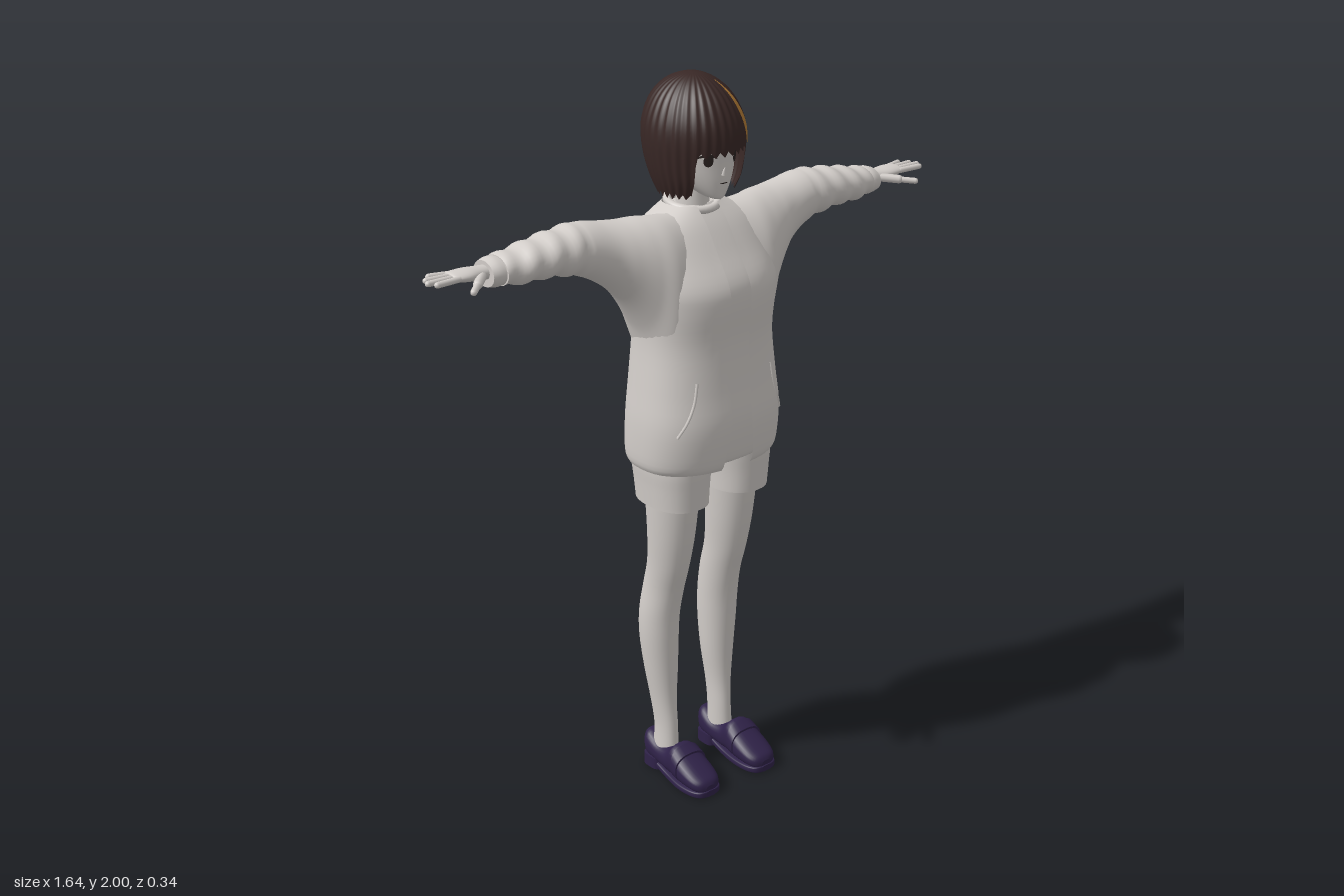
import * as THREE from 'three';

const material = (name, color, side = THREE.FrontSide) => {
  const m = new THREE.MeshStandardMaterial({ color, side });
  m.name = name;
  return m;
};

// Smooth (Catmull-Rom) reading of a table of cross-sections
function sample(rows, u) {
  const n = rows.length - 1;
  const i = Math.min(Math.floor(u), n - 1), t = u - i;
  const [a, b, c, d] = [Math.max(i - 1, 0), i, i + 1, Math.min(i + 2, n)].map(k => rows[k]);
  return b.map((_, k) => b[k] + 0.5 * t * (c[k] - a[k]
    + t * (2 * a[k] - 5 * b[k] + 4 * c[k] - d[k] + t * (3 * (b[k] - c[k]) + d[k] - a[k]))));
}
function findU(rows, y) {
  let lo = 0, hi = rows.length - 1;
  for (let k = 0; k < 30; k++) {
    const mid = (lo + hi) / 2;
    if (sample(rows, mid)[0] < y) lo = mid; else hi = mid;
  }
  return lo;
}
const power = (v, p) => Math.sign(v) * Math.abs(v) ** p;

// Point on a section [position, centre, halfWidth, front, back]
function onSection([t, c, h, f, b], a, p = 1, grow = 0) {
  const side = c + (h + grow) * power(Math.sin(a), p);
  const depth = (f + b) / 2 + ((f - b) / 2 + grow) * power(Math.cos(a), p);
  return [side, t, depth];
}

// Indexed surface from rows of points
function surface(points, closed) {
  const m = points[0].length, index = [];
  for (let i = 0; i < points.length - 1; i++)
    for (let j = 0; j < (closed ? m : m - 1); j++) {
      const k = (j + 1) % m, a = i * m + j, b = i * m + k, c = a + m, d = b + m;
      index.push(a, c, b, b, c, d);
    }
  const geo = new THREE.BufferGeometry();
  geo.setAttribute('position', new THREE.Float32BufferAttribute(points.flat(2), 3));
  geo.setIndex(index);
  geo.computeVertexNormals();
  return geo;
}

// Loft through sections along axis x, y or z; gap(t) leaves the front open
function loft(rows, { axis = 'y', p = 1, seg = 28, steps = 4, cap = true, gap, ripple } = {}) {
  const rings = [], n = (rows.length - 1) * steps;
  for (let i = 0; i <= n; i++) {
    const s = sample(rows, i / steps), ring = [];
    const a0 = gap ? Math.asin(Math.min(1, gap(s[0]) / s[2]) ** (1 / p)) : 0;
    for (let j = 0; j < (gap ? seg + 1 : seg); j++) {
      const a = a0 + (j / seg) * (2 * Math.PI - 2 * a0);
      const [x, y, z] = onSection(s, axis === 'y' ? -a : a, p, ripple ? ripple(s[0], a) : 0);
      ring.push(axis === 'y' ? [x, y, z] : axis === 'x' ? [y, x, z] : [x, z, y]);
    }
    rings.push(ring);
  }
  if (cap && !gap) {
    const centre = r => r.map(() => [0, 1, 2].map(k => r.reduce((q, v) => q + v[k], 0) / r.length));
    const first = rings[0], last = rings[n];
    rings.unshift(centre(first), first);
    rings.push(last, centre(last));
  }
  return surface(rings, !gap);
}

// Rounded finger between two points
function finger(from, to, r) {
  const a = new THREE.Vector3(...from), b = new THREE.Vector3(...to), d = b.clone().sub(a);
  const geo = new THREE.CapsuleGeometry(r, d.length() - r, 4, 10);
  geo.applyQuaternion(new THREE.Quaternion().setFromUnitVectors(new THREE.Vector3(0, 1, 0), d.normalize()));
  return geo.translate(...a.add(b).multiplyScalar(0.5).toArray());
}

function mirrored(geo) {
  const g = geo.clone().scale(-1, 1, 1), ix = g.index;
  for (let i = 0; i < ix.count; i += 3) {
    const t = ix.getX(i);
    ix.setX(i, ix.getX(i + 2));
    ix.setX(i + 2, t);
  }
  return g;
}

export function createModel() {
  const model = new THREE.Group();
  const grey = material('pale grey', 0xd2cdc9);
  const greyOpen = material('pale grey cloth', 0xd2cdc9, THREE.DoubleSide);
  const hairMat = material('dark brown hair', 0x382725, THREE.DoubleSide);
  const streakMat = material('amber streak', 0xb07a35, THREE.DoubleSide);
  const shoeMat = material('dark violet leather', 0x2f2248);
  const dark = material('eye dark', 0x2a2220, THREE.DoubleSide);
  const add = (name, geo, mat) => {
    const mesh = new THREE.Mesh(geo, mat);
    mesh.name = name;
    model.add(mesh);
  };
  const pair = (name, geo, mat) => {
    add(name + 'Left', geo, mat);
    add(name + 'Right', mirrored(geo), mat);
  };

  // Legs and shorts
  pair('leg', loft([
    [0.06, 0.1, 0.03, 0.014, -0.072], [0.14, 0.098, 0.029, 0.01, -0.07], [0.22, 0.1, 0.034, 0.004, -0.08],
    [0.32, 0.102, 0.046, 0.004, -0.096], [0.42, 0.105, 0.053, 0.008, -0.108], [0.5, 0.105, 0.054, 0.015, -0.108],
    [0.58, 0.102, 0.052, 0.032, -0.095], [0.66, 0.102, 0.054, 0.055, -0.075], [0.76, 0.102, 0.062, 0.075, -0.068],
    [0.88, 0.102, 0.07, 0.088, -0.072], [1.0, 0.1, 0.075, 0.09, -0.08]]), grey);
  pair('shortsLeg', loft([
    [0.86, 0.103, 0.082, 0.118, -0.1], [0.92, 0.104, 0.086, 0.122, -0.105],
    [0.98, 0.103, 0.092, 0.125, -0.112], [1.06, 0.095, 0.095, 0.12, -0.115]], { p: 0.85 }), grey);

  // Shoes: upper, strap, sole, heel
  pair('shoeUpper', loft([
    [-0.095, 0.1, 0.026, 0.1, 0.03], [-0.075, 0.1, 0.036, 0.1, 0.02], [-0.03, 0.1, 0.04, 0.082, 0.02],
    [0.015, 0.102, 0.043, 0.088, 0.015], [0.045, 0.103, 0.046, 0.113, 0.01], [0.09, 0.103, 0.052, 0.088, 0.01],
    [0.14, 0.103, 0.048, 0.062, 0.01], [0.165, 0.103, 0.035, 0.048, 0.01], [0.174, 0.103, 0.016, 0.035, 0.012]],
    { axis: 'z', p: 0.8 }), shoeMat);
  pair('shoeStrap', loft([
    [0.058, 0.103, 0.052, 0.113, 0.012], [0.085, 0.103, 0.055, 0.097, 0.012]], { axis: 'z', p: 0.8 }), shoeMat);
  pair('shoeSole', loft([
    [-0.02, 0.102, 0.04, 0.03, 0.012], [0.03, 0.102, 0.046, 0.022, 0.002], [0.09, 0.103, 0.054, 0.02, 0],
    [0.14, 0.103, 0.051, 0.02, 0], [0.168, 0.103, 0.037, 0.02, 0], [0.177, 0.103, 0.016, 0.02, 0.002]],
    { axis: 'z', p: 0.4 }), shoeMat);
  pair('shoeHeel', loft([
    [0, 0.1, 0.04, -0.02, -0.094], [0.035, 0.1, 0.04, -0.015, -0.095]], { p: 0.6 }), shoeMat);

  // Jacket body with an open front over a shirt
  const body = [
    [0.972, 0, 0.205, 0.152, -0.142], [1.0, 0, 0.214, 0.165, -0.152], [1.1, 0, 0.214, 0.177, -0.151],
    [1.2, 0, 0.203, 0.168, -0.146], [1.32, 0, 0.191, 0.162, -0.14], [1.42, 0, 0.195, 0.17, -0.133],
    [1.48, 0, 0.198, 0.163, -0.128], [1.55, 0, 0.192, 0.12, -0.122], [1.62, 0, 0.16, 0.075, -0.112],
    [1.665, 0, 0.08, 0.035, -0.095]];
  const gap = y => 0.034 + 0.015 * THREE.MathUtils.smoothstep(1.12 - y, 0, 0.14);
  add('jacketBody', loft(body, { p: 0.83, seg: 48, gap }), greyOpen);
  add('shirt', loft(body.map(([y, c, h, f, b]) => [Math.max(y, 0.985) - 0.004, c, h - 0.02, f - 0.022, b + 0.02]),
    { p: 0.83, seg: 40 }), grey);

  // Sleeves with soft folds, cuffs
  pair('sleeve', loft([
    [0.08, 1.46, 0.19, 0.1, -0.11], [0.15, 1.445, 0.212, 0.12, -0.118], [0.2, 1.51, 0.15, 0.098, -0.118],
    [0.25, 1.553, 0.107, 0.075, -0.112], [0.3, 1.58, 0.085, 0.055, -0.105], [0.37, 1.605, 0.07, 0.045, -0.1],
    [0.46, 1.612, 0.055, 0.043, -0.095], [0.55, 1.605, 0.046, 0.034, -0.09], [0.61, 1.6, 0.038, 0.016, -0.085]],
    { axis: 'x', steps: 8, ripple: (x, a) => x > 0.38 ? 0.0035 * Math.sin(x * 95 + 1.5 * Math.sin(a)) : 0 }), grey);
  pair('cuff', loft([
    [0.605, 1.6, 0.036, 0.014, -0.084], [0.625, 1.6, 0.038, 0.013, -0.085], [0.645, 1.599, 0.033, 0.008, -0.08]],
    { axis: 'x' }), grey);

  // Pocket welts lying on the jacket
  const pocket = [[0.125, 1.235], [0.135, 1.18], [0.155, 1.13], [0.175, 1.09]].map(([x, y]) => {
    const s = sample(body, findU(body, y));
    return new THREE.Vector3(...onSection(s, Math.asin((x / s[2]) ** (1 / 0.83)), 0.83));
  });
  pair('pocketWelt', new THREE.TubeGeometry(new THREE.CatmullRomCurve3(pocket), 12, 0.004, 6), grey);

  // Collar and neck
  add('collar', new THREE.TorusGeometry(0.066, 0.011, 10, 32).rotateX(Math.PI / 2 + 0.15).translate(0, 1.662, -0.03), grey);
  add('neck', new THREE.CylinderGeometry(0.038, 0.046, 0.16, 24).translate(0, 1.7, -0.028), grey);

  // Hands
  pair('palm', loft([
    [0.63, 1.602, 0.019, -0.012, -0.055], [0.665, 1.606, 0.017, -0.008, -0.06], [0.7, 1.609, 0.016, 0, -0.066],
    [0.735, 1.611, 0.012, -0.002, -0.066], [0.745, 1.611, 0.008, -0.006, -0.062]], { axis: 'x' }), grey);
  [[-0.009, 0.808, 0.0], [-0.026, 0.82, -0.022], [-0.043, 0.812, -0.045], [-0.058, 0.79, -0.068]].forEach(([z, tip, tz], i) =>
    pair('finger' + (i + 1), finger([0.73, 1.611, z], [tip - 0.004, 1.613, tz], 0.0078), grey));
  pair('thumbBase', finger([0.66, 1.603, -0.02], [0.705, 1.598, 0.025], 0.012), grey);
  pair('thumbTip', finger([0.7, 1.598, 0.02], [0.737, 1.594, 0.055], 0.0085), grey);

  // Head
  const face = [
    [1.69, 0, 0.012, 0.084, 0.055], [1.7, 0, 0.032, 0.09, 0.01], [1.735, 0, 0.063, 0.096, -0.06],
    [1.78, 0, 0.084, 0.098, -0.1], [1.85, 0, 0.095, 0.1, -0.125], [1.92, 0, 0.082, 0.08, -0.11],
    [1.955, 0, 0.04, 0.03, -0.07]];
  add('head', loft(face, { seg: 36 }), grey);
  add('nose', new THREE.ConeGeometry(0.008, 0.024, 12).rotateX(0.35).translate(0, 1.768, 0.099), grey);

  // Painted eye, lash and mouth plates that follow the face
  const plate = (cx, cy, w, h, bend = 0) => surface([0, 1, 2].map(i =>
    Array.from({ length: 13 }, (_, j) => {
      const q = 1 - j / 6, x = cx + q * w;
      const y = cy + (i - 1) * h * Math.sqrt(Math.max(0, 1 - q * q)) - bend * q * q;
      const s = sample(face, findU(face, y));
      return [x, y, onSection(s, Math.asin(x / s[2]))[2] + 0.003];
    })), false);
  pair('iris', plate(0.043, 1.797, 0.011, 0.016), dark);
  pair('lash', plate(0.045, 1.811, 0.022, 0.004, 0.008), dark);
  add('mouth', plate(0, 1.735, 0.014, 0.0015), dark);

  // Bobbed hair: strands with pointed tips, face left open below the fringe
  const hairRows = [
    [1.685, 0, 0.1, 0.07, -0.095], [1.73, 0, 0.116, 0.1, -0.13], [1.78, 0, 0.126, 0.112, -0.153],
    [1.84, 0, 0.13, 0.12, -0.166], [1.89, 0, 0.123, 0.113, -0.163], [1.94, 0, 0.1, 0.086, -0.142],
    [1.975, 0, 0.066, 0.048, -0.107], [1.994, 0, 0.03, 0.008, -0.062], [1.999, 0, 0.001, -0.027, -0.029]];
  const cols = 192, hairRings = [];
  for (let i = 0; i <= 26; i++) {
    const ring = [];
    for (let j = 0; j < cols; j++) {
      const a = -(j / cols) * 2 * Math.PI, front = Math.abs(Math.atan2(Math.sin(a), Math.cos(a)));
      const strand = Math.abs(((j / 6) % 1) - 0.5) * 2;
      const edge = THREE.MathUtils.lerp(1.806, 1.692, THREE.MathUtils.smoothstep(front, 0.66, 0.76));
      const u0 = findU(hairRows, edge + 0.014 * strand);
      const s = sample(hairRows, THREE.MathUtils.lerp(u0, hairRows.length - 1, i / 26));
      ring.push(onSection(s, a, 1, -0.004 * strand * Math.min(1, s[2] / 0.1)));
    }
    hairRings.push(ring);
  }
  add('hair', surface(hairRings, true), hairMat);

  // Coloured lock on the left of the fringe
  const lock = Array.from({ length: 17 }, (_, i) => {
    const t = i / 16, s = sample(hairRows, findU(hairRows, 1.825 + 0.158 * t));
    const mid = 0.64 - 0.2 * t, half = 0.085 * Math.sin(Math.PI * (0.04 + 0.9 * t)) ** 0.7;
    return [1, 0.5, 0, -0.5, -1].map(k => onSection(s, mid + k * half, 1, 0.003));
  });
  add('hairStreak', surface(lock, false), streakMat);

  return model;
}
